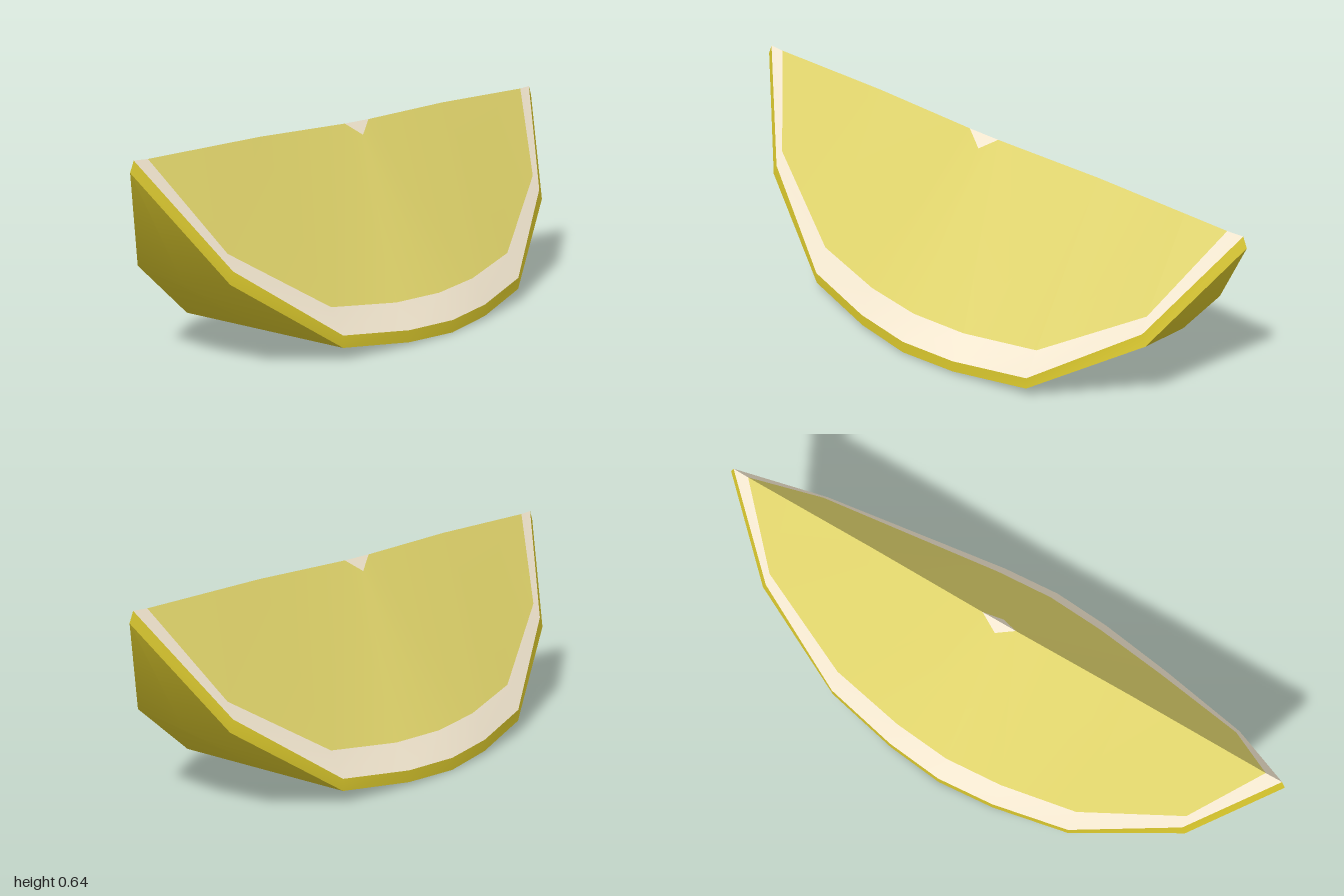
import * as THREE from 'three';

// Half profiles from the middle (x = 0) to the tip, as [x, y, z]
const RIDGE = [[0, 0.59, 0.026], [0.06, 0.631, 0], [0.46, 0.64, 0], [0.78, 0.638, 0], [0.93, 0.637, 0]];
const PULP = [[0, 0.12, 0.334], [0.2, 0.126, 0.319], [0.46, 0.157, 0.276], [0.78, 0.36, 0.16], [0.93, 0.637, 0]];
const PITH = [[0, 0.04, 0.387], [0.2, 0.047, 0.37], [0.46, 0.078, 0.322], [0.785, 0.313, 0.185], [0.985, 0.64, 0]];
const RIND = [[0, 0, 0.387], [0.2, 0.009, 0.37], [0.46, 0.04, 0.322], [0.8, 0.277, 0.187], [1, 0.607, 0]];
const KEEL = [[0, 0, 0], [0.2, 0.009, 0], [0.46, 0.04, 0], [0.8, 0.25, 0], [1, 0.607, 0]];

// Full row running from -x to +x
const row = (half) => [...half.slice(1).reverse().map(([x, y, z]) => [-x, y, z]), ...half];
const flip = (half) => half.map(([x, y, z]) => [x, y, -z]);

// Smooth skin stretched over successive rows
function skin(halves) {
  const rows = halves.map(row);
  const n = rows[0].length;
  const index = [];
  for (let i = 0; i < rows.length - 1; i++) {
    for (let j = 0; j < n - 1; j++) {
      const a = i * n + j, b = a + 1, c = a + n, d = c + 1;
      index.push(a, c, b, b, c, d);
    }
  }
  const geometry = new THREE.BufferGeometry();
  geometry.setAttribute('position', new THREE.Float32BufferAttribute(rows.flat(2), 3));
  geometry.setIndex(index);
  geometry.computeVertexNormals();
  return geometry;
}

export function createModel() {
  const model = new THREE.Group();
  model.name = 'citrusWedge';
  const material = (color) => new THREE.MeshStandardMaterial({ color, side: THREE.DoubleSide });
  const flesh = material(0xe2d66c);
  const white = material(0xf6ead2);
  const peel = material(0xd8c62c);

  const add = (name, halves, mat) => {
    const mesh = new THREE.Mesh(skin(halves), mat);
    mesh.name = name;
    model.add(mesh);
  };

  // Core showing in the middle of the ridge
  const coreTop = [[0, 0.631, 0], [0.06, 0.631, 0]];
  const coreLow = [[0, 0.59, 0.026], [0.06, 0.631, 0]];

  // Each cut face: pulp, pith border, edge of the peel and half of the core
  const faceParts = [
    ['Pulp', RIDGE, PULP, flesh],
    ['Pith', PULP, PITH, white],
    ['PeelEdge', PITH, RIND, peel],
    ['Core', coreTop, coreLow, white],
  ];
  for (const [name, upper, lower, mat] of faceParts) {
    add('front' + name, [upper, lower], mat);
    add('back' + name, [flip(lower), flip(upper)], mat);
  }

  // Outer peel underneath
  add('peel', [RIND, KEEL, flip(RIND)], peel);

  return model;
}
